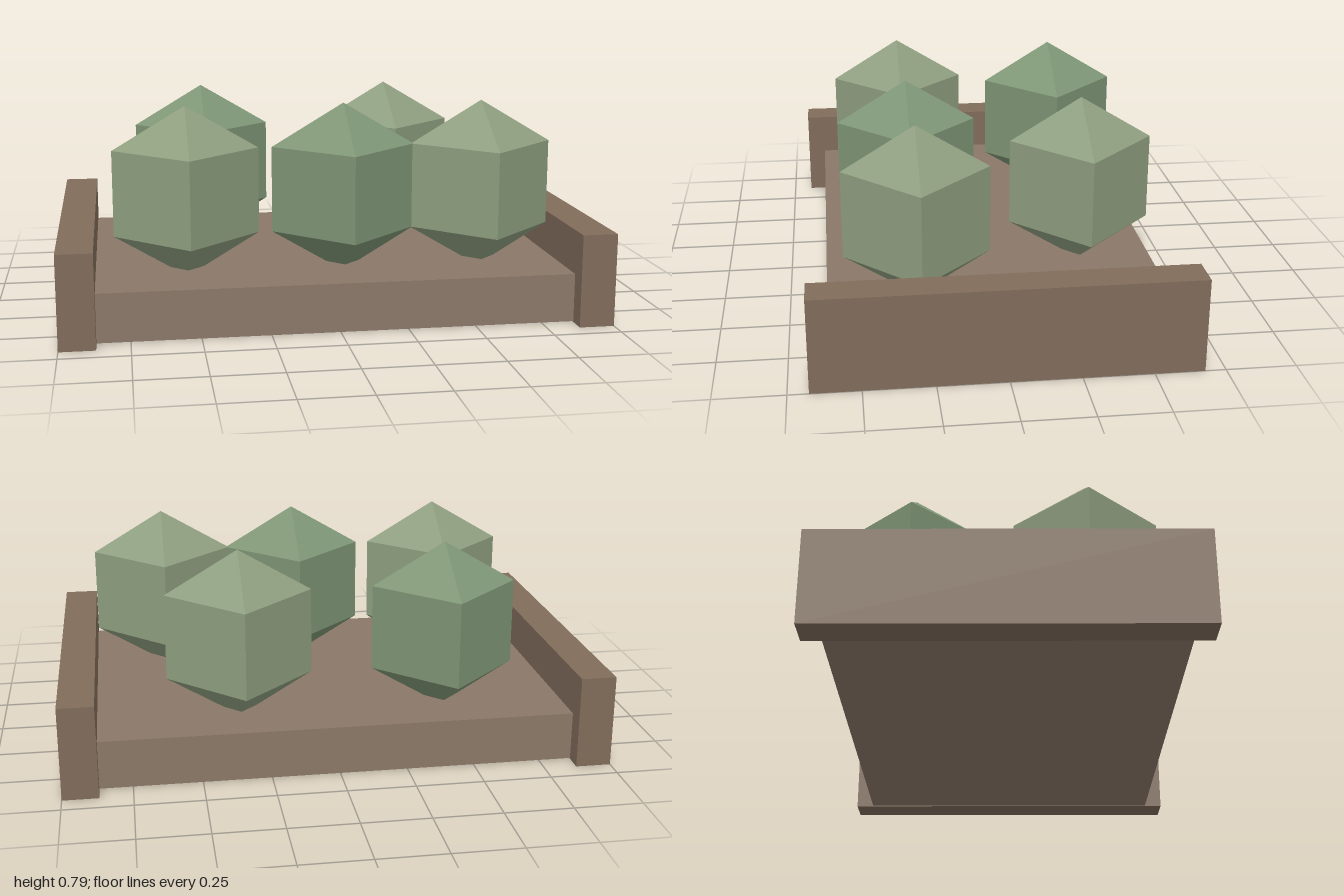
import * as THREE from 'three';

export function createModel() {
  const group = new THREE.Group();
  const mat = (color) => new THREE.MeshStandardMaterial({ color, flatShading: true });
  const soilMat = mat(0x8a7868);
  const railMat = mat(0x806c5a);
  const leafMats = [mat(0x8f9f80), mat(0x7f9676)];

  const add = (name, geometry, material, x, y, z) => {
    const mesh = new THREE.Mesh(geometry, material);
    mesh.name = name;
    mesh.position.set(x, y, z);
    group.add(mesh);
    return mesh;
  };

  // Flat planting bed between the two side rails
  add('bed', new THREE.BoxGeometry(1.74, 0.18, 1.214), soilMat, 0, 0.093, 0);

  // Side rails, a little longer and taller than the bed
  const railGeometry = new THREE.BoxGeometry(0.13, 0.345, 1.354);
  add('leftRail', railGeometry, railMat, 0.935, 0.1725, 0);
  add('rightRail', railGeometry, railMat, -0.935, 0.1725, 0);

  // Faceted plants: four-sided, three-band balls sunk into the bed
  const plantGeometry = new THREE.SphereGeometry(1, 4, 3).scale(0.312, 0.322, 0.304);
  const spots = [
    [-0.53, 0.283], [0.06, 0.283], [0.59, 0.283],
    [-0.43, -0.347], [0.34, -0.347],
  ];
  spots.forEach(([x, z], i) => {
    add(`plant${i + 1}`, plantGeometry, leafMats[i % 2], x, 0.468, z);
  });

  return group;
}
